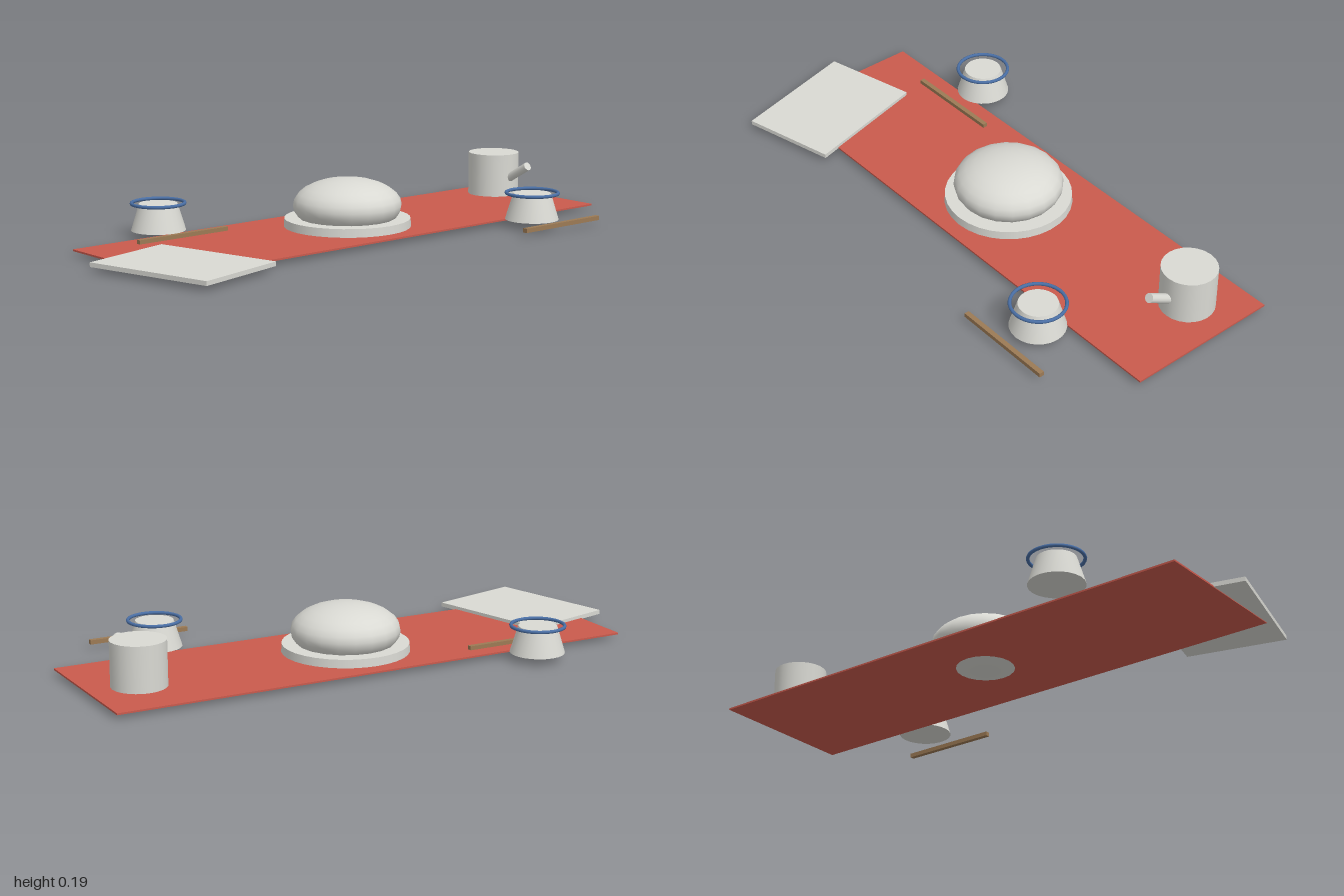
import * as THREE from 'three';

const mat = (name, color) => {
  const m = new THREE.MeshStandardMaterial({ color });
  m.name = name;
  return m;
};

export function createModel() {
  const model = new THREE.Group();
  model.name = 'tableSetting';

  const ceramic = mat('ceramic white', 0xd9d9d3);
  const cloth = mat('runner red', 0xc95a4d);
  const glaze = mat('rim blue', 0x4a6fa5);
  const wood = mat('stick wood', 0x9c7a55);

  const add = (name, geometry, material, x, y, z) => {
    const mesh = new THREE.Mesh(geometry, material);
    mesh.name = name;
    mesh.position.set(x, y, z);
    model.add(mesh);
    return mesh;
  };

  // Cloth runner
  add('runner', new THREE.BoxGeometry(0.55, 0.006, 1.895), cloth, -0.03, 0.021, -0.0525);

  // Serving plate with a domed dish
  add('plate', new THREE.CylinderGeometry(0.219, 0.221, 0.034, 32), ceramic, -0.03, 0.036, -0.05);
  const dish = add('dish', new THREE.SphereGeometry(0.189, 20, 14), ceramic, -0.03, 0.097, -0.05);
  dish.scale.y = 0.5;

  // Two place settings: flared cup, blue rim and a wooden stick
  for (const [side, cupX, stickX, z] of [['right', -0.376, -0.234, 0.503], ['left', 0.319, 0.462, -0.605]]) {
    add(side + 'Cup', new THREE.CylinderGeometry(0.066, 0.094, 0.092, 24), ceramic, cupX, 0.074, z);
    const rim = add(side + 'CupRim', new THREE.TorusGeometry(0.091, 0.006, 8, 32), glaze, cupX, 0.121, z);
    rim.rotation.x = Math.PI / 2;
    add(side + 'Stick', new THREE.BoxGeometry(0.017, 0.015, 0.365), wood, stickX, 0.0305, z);
  }

  // Pot with a slanted side spout
  add('pot', new THREE.CylinderGeometry(0.093, 0.093, 0.155, 24), ceramic, -0.109, 0.1145, -0.843);
  const spout = add('spout', new THREE.CylinderGeometry(0.016, 0.016, 0.15, 12), ceramic, 0.002, 0.1205, -0.843);
  spout.rotation.z = -Math.PI / 3;

  // Angled flat tray
  const tray = add('tray', new THREE.BoxGeometry(0.469, 0.015, 0.346), ceramic, 0.13, 0.028, 0.77);
  tray.rotation.y = 0.248;

  return model;
}
